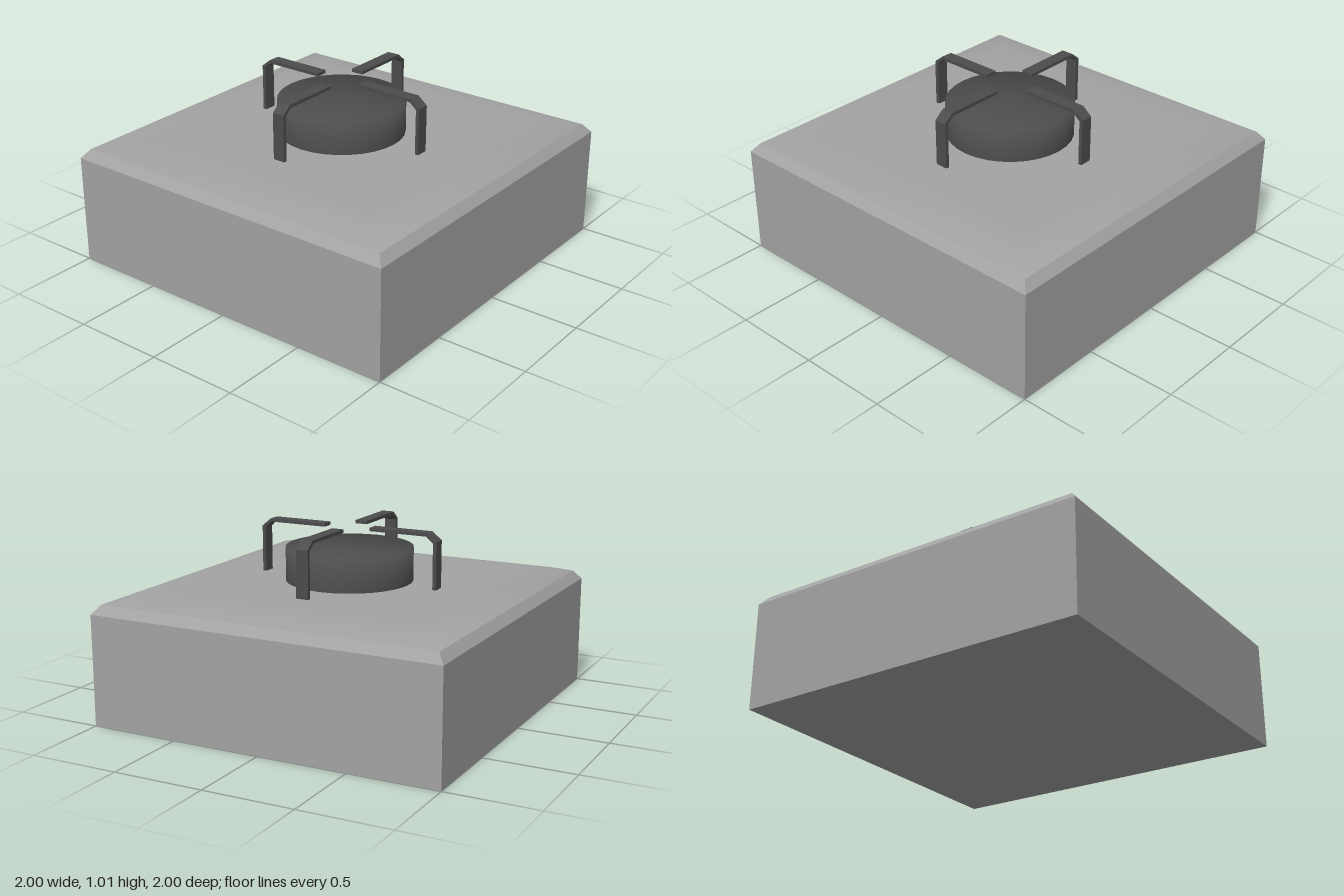
import * as THREE from 'three';
import { toCreasedNormals } from 'three/addons/utils/BufferGeometryUtils.js';

const points = (list) => list.map(([x, y]) => new THREE.Vector2(x, y));

// Square solid from rings of [half width, height], bottom to top
const squareLathe = (rings) =>
  new THREE.LatheGeometry(points(rings.map(([half, y]) => [half * Math.SQRT2, y])), 4, Math.PI / 4);

export function createModel() {
  const model = new THREE.Group();
  model.name = 'burnerStove';
  const bodyMaterial = new THREE.MeshStandardMaterial({ color: 0xa3a3a3 });
  const ironMaterial = new THREE.MeshStandardMaterial({ color: 0x4c4c4c });

  const add = (parent, name, geometry, material) => {
    const mesh = new THREE.Mesh(geometry, material);
    mesh.name = name;
    parent.add(mesh);
    return mesh;
  };

  // Square body with a sharp bevel around its upper edge
  const body = squareLathe([[0, 0], [1, 0], [1, 0.61], [0.96, 0.66]]);
  add(model, 'body', toCreasedNormals(body, 0.35), bodyMaterial);

  // Softly domed top plate, smooth all over
  const topPlate = squareLathe([[0.96, 0.66], [0.86, 0.69], [0.73, 0.704], [0, 0.705]]);
  add(model, 'topPlate', topPlate, bodyMaterial);

  // Round burner, shaded smoothly over its rim
  const burner = new THREE.LatheGeometry(points([[0.35, 0.7], [0.35, 0.89], [0, 0.89]]), 32);
  add(model, 'burner', burner, ironMaterial);

  // Pan support: four flat bars bent inwards over the burner
  const support = new THREE.Group();
  support.name = 'panSupport';
  model.add(support);
  const barShape = new THREE.Shape(points([
    [0.511, 0.7], [0.531, 0.7], [0.531, 0.963], [0.477, 1.007],
    [0.137, 1.007], [0.137, 0.989], [0.471, 0.989], [0.511, 0.955],
  ]));
  const width = 0.07;
  const barGeometry = new THREE.ExtrudeGeometry(barShape, { depth: width, bevelEnabled: false });
  barGeometry.translate(0, 0, -width / 2);
  for (let i = 0; i < 4; i++) {
    add(support, 'supportBar', barGeometry, ironMaterial).rotation.y = (i * Math.PI) / 2;
  }

  return model;
}
